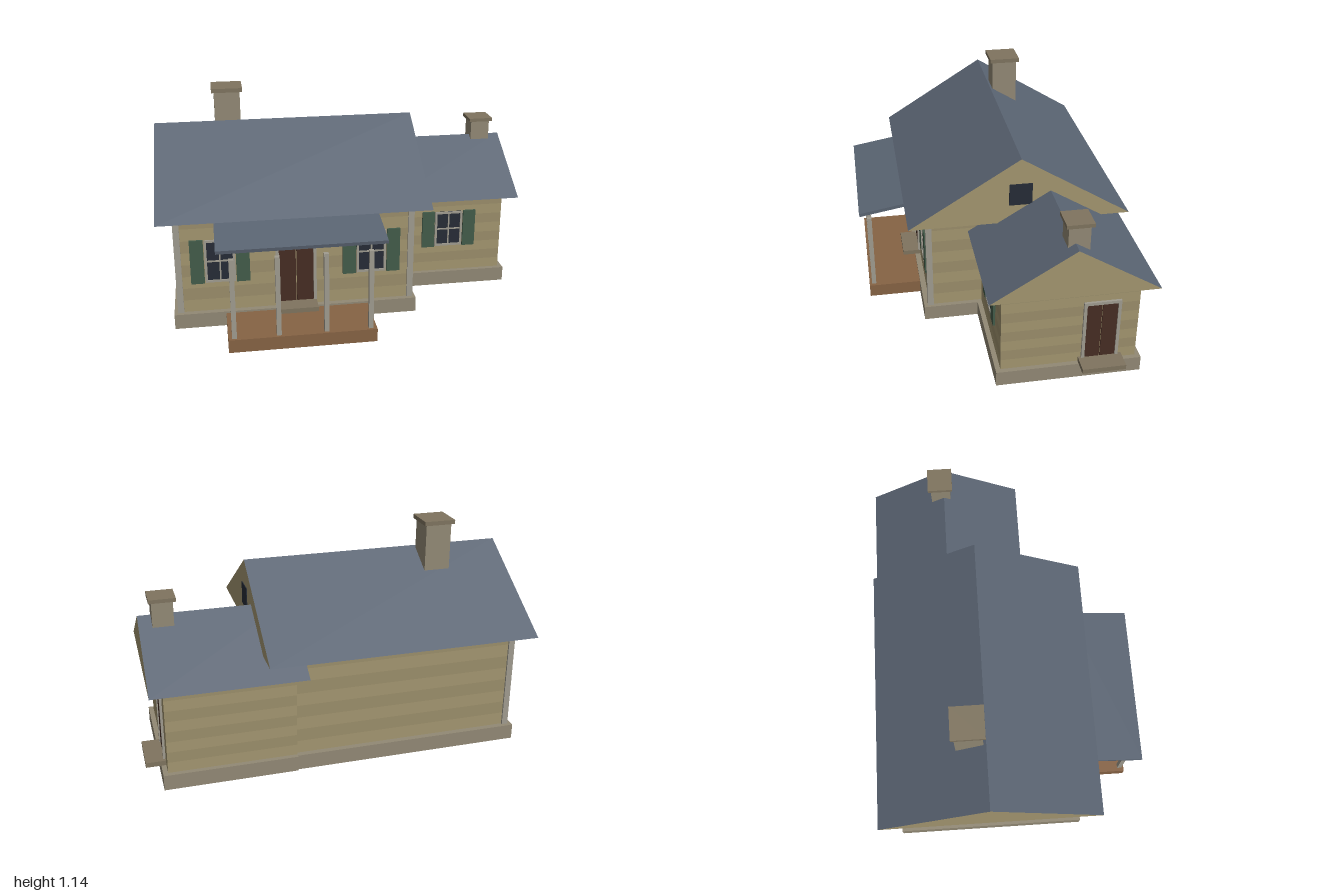
import * as THREE from 'three';

const mat = (color) => new THREE.MeshStandardMaterial({ color, side: THREE.DoubleSide });
const M = {
  roof: mat(0x5a6472), soffit: mat(0x5c4a36), wall: mat(0xa39670), wallDark: mat(0x9b8e6b),
  stone: mat(0x928975), cap: mat(0x7f745f), trim: mat(0xa09c90), shutter: mat(0x435c4a),
  glass: mat(0x262c36), door: mat(0x462d23), deck: mat(0x866344),
};

// Box given by its limits; `open` drops the bottom, `tube` drops top and bottom
function box(parent, name, material, [x0, x1], [y0, y1], [z0, z1], kind = '') {
  const g = new THREE.BoxGeometry(x1 - x0, y1 - y0, z1 - z0);
  const idx = Array.from(g.index.array);
  if (kind === 'open') idx.splice(18, 6);
  if (kind === 'tube') idx.splice(12, 12);
  g.setIndex(idx);
  g.clearGroups();
  const m = new THREE.Mesh(g, material);
  m.position.set((x0 + x1) / 2, (y0 + y1) / 2, (z0 + z1) / 2);
  m.name = name;
  parent.add(m);
  return m;
}

function group(parent, name) {
  const g = new THREE.Group();
  g.name = name;
  parent.add(g);
  return g;
}

// Walls made of alternating siding courses
function walls(parent, name, x, [y0, y1], z) {
  const g = group(parent, name);
  const n = 8, h = (y1 - y0) / n;
  for (let i = 0; i < n; i++)
    box(g, 'sidingCourse', i % 2 ? M.wallDark : M.wall, x, [y0 + i * h, y0 + (i + 1) * h], z, 'tube');
}

// Flat faces from a list of quads and triangles
function faces(parent, name, material, polys) {
  const pos = [];
  for (const p of polys)
    for (let i = 1; i < p.length - 1; i++) pos.push(...p[0], ...p[i], ...p[i + 1]);
  const g = new THREE.BufferGeometry();
  g.setAttribute('position', new THREE.Float32BufferAttribute(pos, 3));
  g.computeVertexNormals();
  const m = new THREE.Mesh(g, material);
  m.name = name;
  parent.add(m);
}

// Gabled roof: two slopes, two gable ends and a flat soffit
function gableRoof(parent, name, [x0, x1], [y0, y1], [zb, zf]) {
  const g = group(parent, name);
  const zr = (zb + zf) / 2;
  const [f0, f1, b0, b1] = [[x0, y0, zf], [x1, y0, zf], [x0, y0, zb], [x1, y0, zb]];
  const [r0, r1] = [[x0, y1, zr], [x1, y1, zr]];
  faces(g, 'roofSlopes', M.roof, [[f0, f1, r1, r0], [b1, b0, r0, r1]]);
  faces(g, 'gableEnds', M.wall, [[f1, b1, r1], [b0, f0, r0]]);
  faces(g, 'soffit', M.soffit, [[b0, b1, f1, f0]]);
}

// Window with four panes and shutters, built facing +z around its centre
function shutteredWindow(parent, name, h) {
  const g = group(parent, name);
  const w = 0.078, t = 0.012;
  box(g, 'glass', M.glass, [-w, w], [-h / 2, h / 2], [-0.01, 0.004]);
  for (const s of [-1, 1]) {
    const jamb = s * (w - t / 2), rail = s * (h / 2 - t / 2);
    box(g, 'frameSide', M.trim, [jamb - t / 2, jamb + t / 2], [-h / 2, h / 2], [-0.01, 0.01]);
    box(g, 'frameRail', M.trim, [-w, w], [rail - t / 2, rail + t / 2], [-0.01, 0.01]);
    const c = s * 0.117;
    box(g, 'shutter', M.shutter, [c - 0.035, c + 0.035], [-h / 2 - 0.003, h / 2 + 0.003], [-0.01, 0.012]);
  }
  box(g, 'uprightBar', M.trim, [-0.004, 0.004], [-h / 2, h / 2], [-0.01, 0.008]);
  box(g, 'crossBar', M.trim, [-w, w], [-0.004, 0.004], [-0.01, 0.008]);
  return g;
}

// Double door with frame, facing +z, bottom at y = 0
function doubleDoor(parent, name, w, h) {
  const g = group(parent, name);
  const t = 0.016, a = w / 2;
  for (const s of [-1, 1]) {
    const leaf = s * (a / 2 + 0.001), jamb = s * (a + t / 2);
    box(g, 'doorLeaf', M.door, [leaf - a / 2 + 0.001, leaf + a / 2 - 0.001], [0, h], [-0.01, 0.006]);
    box(g, 'doorJamb', M.trim, [jamb - t / 2, jamb + t / 2], [0, h + t], [-0.01, 0.012]);
  }
  box(g, 'doorHead', M.trim, [-a, a], [h, h + t], [-0.01, 0.012]);
  return g;
}

function chimney(parent, name, x, z, [y0, y1], [sx, sz], capH) {
  const g = group(parent, name);
  box(g, 'chimneyShaft', M.stone, [x - sx, x + sx], [y0, y1], [z - sz, z + sz], 'tube');
  const c = 0.014;
  box(g, 'chimneyCap', M.cap, [x - sx - c, x + sx + c], [y1, y1 + capH], [z - sz - c, z + sz + c]);
}

export function createModel() {
  const house = new THREE.Group();
  house.name = 'house';

  // Main block
  box(house, 'mainFoundation', M.stone, [-0.94, 0.34], [0, 0.08], [-0.625, 0.39], 'open');
  walls(house, 'mainWalls', [-0.915, 0.315], [0.08, 0.612], [-0.595, 0.36]);
  for (const cx of [-0.905, 0.309])
    for (const cz of [-0.588, 0.354])
      box(house, 'cornerBoard', M.trim, [cx - 0.016, cx + 0.016], [0.08, 0.612], [cz - 0.016, cz + 0.016]);
  gableRoof(house, 'mainRoof', [-1, 0.4], [0.612, 0.97], [-0.695, 0.463]);
  box(house, 'atticWindow', M.glass, [0.39, 0.404], [0.713, 0.832], [-0.175, -0.055]);
  chimney(house, 'mainChimney', -0.607, -0.2, [0.86, 1.122], [0.069, 0.07], 0.022);

  // Side wing
  box(house, 'wingFoundation', M.stone, [0.25, 0.925], [0, 0.08], [-0.635, 0.1], 'open');
  walls(house, 'wingWalls', [0.25, 0.9], [0.08, 0.526], [-0.61, 0.075]);
  gableRoof(house, 'wingRoof', [0.2, 0.97], [0.526, 0.78], [-0.686, 0.146]);
  chimney(house, 'wingChimney', 0.85, -0.287, [0.72, 0.867], [0.053, 0.053], 0.019);

  // Windows
  for (const x of [-0.692, 0.098])
    shutteredWindow(house, 'frontWindow', 0.235).position.set(x, 0.362, 0.36);
  shutteredWindow(house, 'wingWindow', 0.205).position.set(0.595, 0.337, 0.075);
  const side = shutteredWindow(house, 'sideWindow', 0.235);
  side.position.set(-0.915, 0.372, -0.117);
  side.rotation.y = -Math.PI / 2;

  // Doors with their steps
  doubleDoor(house, 'frontDoor', 0.18, 0.35).position.set(-0.3, 0.105, 0.36);
  box(house, 'frontStep', M.cap, [-0.405, -0.195], [0.08, 0.105], [0.36, 0.46], 'open');
  const wingDoor = doubleDoor(house, 'wingDoor', 0.155, 0.315);
  wingDoor.position.set(0.9, 0.105, -0.423);
  wingDoor.rotation.y = Math.PI / 2;
  box(house, 'wingStep', M.cap, [0.9, 1], [0.08, 0.105], [-0.535, -0.315], 'open');

  // Porch
  const porch = group(house, 'porch');
  box(porch, 'porchDeck', M.deck, [-0.673, 0.076], [0, 0.07], [0.39, 0.673], 'open');
  for (const x of [-0.642, -0.42, -0.18, 0.045])
    box(porch, 'porchPost', M.trim, [x - 0.012, x + 0.012], [0.07, 0.497], [0.636, 0.66]);
  const slab = box(porch, 'porchRoof', M.roof, [-0.715, 0.118], [0, 0.018], [0, 0.335]);
  slab.position.set(-0.2985, 0.587, 0.535);
  slab.rotation.x = Math.atan2(0.057, 0.33);
  return house;
}
